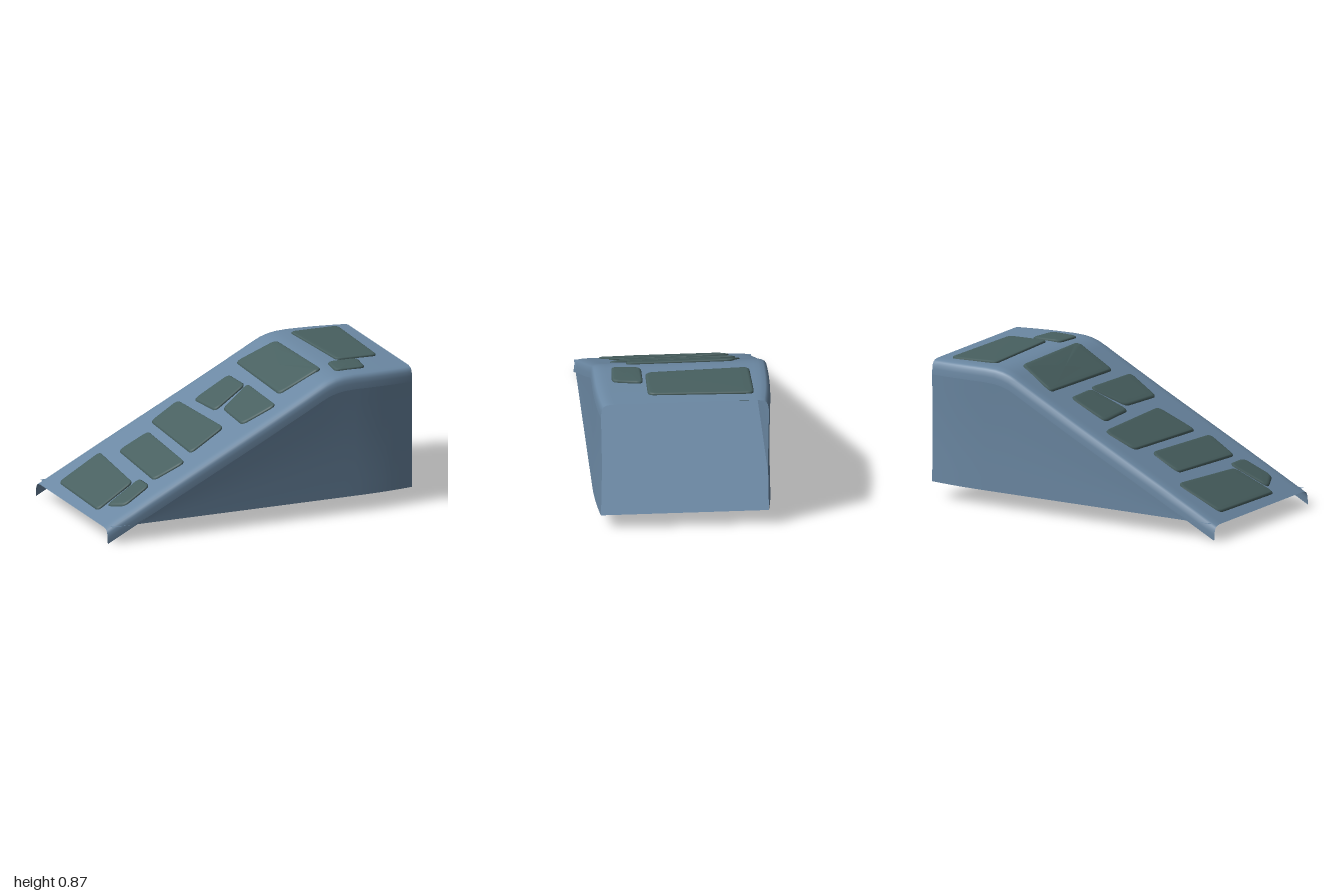
import * as THREE from 'three';

const FLOOR = 0.1;

// Height of the ramp surface along x
const PROFILE = [[-1, 0.09], [-0.6, 0.295], [0, 0.597], [0.3, 0.752], [0.4, 0.805], [0.45, 0.829],
  [0.5, 0.844], [0.55, 0.852], [0.62, 0.855], [0.8, 0.852], [1, 0.847]];
function top(x) {
  let i = 1;
  while (i < PROFILE.length - 1 && x > PROFILE[i][0]) i++;
  const [x0, y0] = PROFILE[i - 1], [x1, y1] = PROFILE[i];
  return y0 + (y1 - y0) * (x - x0) / (x1 - x0);
}

// Half width, drawn in a little at the open end
const halfWidth = x => 0.53 - 0.027 * Math.max(0, (x - 0.65) / 0.35) ** 2;

// Skin joining equal-length rows of points
function loft(rows, closed = false) {
  const n = rows[0].length, index = [];
  for (let r = 0; r < rows.length - 1; r++) {
    for (let i = 0; i < (closed ? n : n - 1); i++) {
      const j = (i + 1) % n, a = r * n + i, b = r * n + j, c = a + n, d = b + n;
      index.push(a, c, b, b, c, d);
    }
  }
  const geo = new THREE.BufferGeometry();
  geo.setAttribute('position', new THREE.Float32BufferAttribute(rows.flat(2), 3));
  geo.setIndex(index);
  geo.computeVertexNormals();
  return geo;
}

// Rounded outline of a four-cornered slab, as [x, z] points
function outline(corners, radius = 0.035) {
  const pts = [];
  corners.forEach((c, i) => {
    const v = new THREE.Vector2(...c);
    const toward = k => {
      const o = new THREE.Vector2(...corners[(i + k) % 4]);
      return o.sub(v).setLength(radius).add(v);
    };
    new THREE.QuadraticBezierCurve(toward(3), v, toward(1)).getPoints(5).forEach(p => pts.push([p.x, p.y]));
  });
  return pts;
}

// Slab: skirt through the ramp, soft rim and a cap that follows the slope; open below
function slabGeometry(corners) {
  const pts = outline(corners);
  const cx = pts.reduce((s, p) => s + p[0], 0) / pts.length;
  const cz = pts.reduce((s, p) => s + p[1], 0) / pts.length;
  const rings = [[0, -0.048], [0, 0.004], [0.008, 0.01], [0.02, 0.012], [0.07, 0.012], [1, 0.012]];
  return loft(rings.map(([inset, lift]) => pts.map(([x, z]) => {
    const dx = cx - x, dz = cz - z, len = Math.hypot(dx, dz), t = Math.min(1, inset / len);
    const px = x + dx * t, pz = z + dz * t;
    return [px, top(px) + lift, pz];
  })), true);
}

export function createModel() {
  const model = new THREE.Group();
  const shellBlue = new THREE.MeshStandardMaterial({ color: 0x6b88a3, side: THREE.DoubleSide });
  const slabGreen = new THREE.MeshStandardMaterial({ color: 0x486060, side: THREE.DoubleSide });
  shellBlue.name = 'shellBlue';
  slabGreen.name = 'slabGreen';

  const add = (name, geo, mat) => {
    const mesh = new THREE.Mesh(geo, mat);
    mesh.name = name;
    model.add(mesh);
  };

  // Stations along the ramp
  const stations = [-1, -0.94, -0.88, -0.82, -0.7, -0.6, -0.4, -0.2, 0, 0.15, 0.3, 0.4, 0.45, 0.5, 0.55,
    0.62, 0.7, 0.8, 0.87, 0.92, 0.96, 1];

  // Ramp deck with rounded shoulders: [distance in from the side, drop]
  const shoulder = [[0, 0.09], [0.002, 0.055], [0.007, 0.03], [0.016, 0.014], [0.03, 0.005], [0.06, 0], [0.09, 0]];
  add('rampDeck', loft(stations.map(x => {
    const w = halfWidth(x);
    const half = shoulder.map(([d, drop]) => [x, top(x) - drop, w - d]);
    const other = half.map(([px, y, z]) => [px, y, -z]).reverse();
    return [...other.reverse(), ...half.reverse()];
  })), shellBlue);

  // Side walls between shoulder and floor, slightly hollowed
  for (const side of [-1, 1]) {
    const rows = stations.filter(x => x >= -0.82).map(x => {
      const y1 = Math.max(FLOOR, top(x) - 0.09), row = [];
      for (let i = 0; i <= 8; i++) {
        const t = i / 8, dip = 0.008 * Math.sin(Math.PI * t) * (y1 - FLOOR);
        row.push([x, y1 + (FLOOR - y1) * t, side * (halfWidth(x) - dip)]);
      }
      return side > 0 ? row : row.reverse();
    });
    add(side > 0 ? 'frontWall' : 'backWall', loft(rows), shellBlue);
  }

  // Floor
  add('floor', loft([-0.97, ...stations.slice(2)].map(x =>
    [[x, FLOOR, halfWidth(x)], [x, FLOOR, -halfWidth(x)]])), shellBlue);

  // Irregular slabs set into the deck, from the low end to the high end
  const slabs = [
    [[-0.93, -0.35], [-0.65, -0.38], [-0.69, 0.2], [-0.94, 0.25]],
    [[-0.89, 0.26], [-0.65, 0.205], [-0.65, 0.36], [-0.83, 0.4]],
    [[-0.58, -0.26], [-0.39, -0.255], [-0.42, 0.36], [-0.61, 0.33]],
    [[-0.33, -0.35], [-0.14, -0.385], [-0.12, 0.255], [-0.355, 0.3]],
    [[-0.08, -0.28], [0.155, -0.295], [0.16, -0.06], [-0.065, 0.005]],
    [[-0.03, 0.035], [0.17, -0.055], [0.16, 0.395], [-0.045, 0.355]],
    [[0.24, -0.385], [0.48, -0.325], [0.49, 0.32], [0.225, 0.295]],
    [[0.605, -0.41], [0.92, -0.42], [0.9, 0.215], [0.635, 0.215]],
    [[0.56, 0.235], [0.76, 0.235], [0.73, 0.42], [0.54, 0.41]],
  ];
  slabs.forEach((corners, i) => add(`slab${i + 1}`, slabGeometry(corners), slabGreen));

  return model;
}
